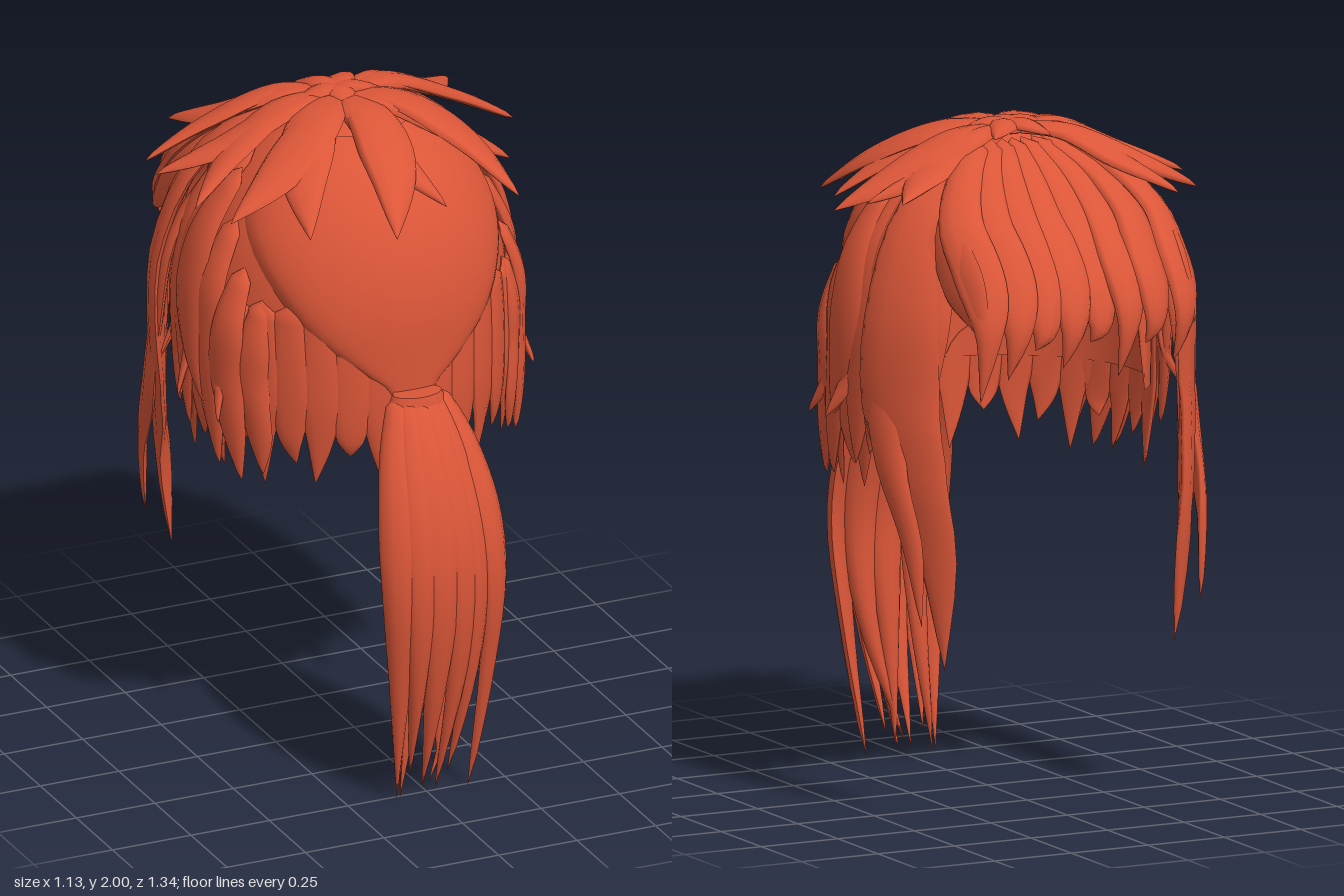
import * as THREE from 'three';

const hair = new THREE.MeshStandardMaterial({ color: 0xdb5638, side: THREE.DoubleSide });
hair.name = 'copper hair';
const V = (x, y, z) => new THREE.Vector3(x, y, z);
const rad = THREE.MathUtils.degToRad;
const HEAD = V(0, 1.4, -0.05);

// Surface grid from a rule fn(u, v) -> Vector3
function grid(nu, nv, fn) {
  const pos = [], idx = [];
  for (let i = 0; i <= nu; i++)
    for (let j = 0; j <= nv; j++) pos.push(...fn(i / nu, j / nv).toArray());
  for (let i = 0; i < nu; i++)
    for (let j = 0; j < nv; j++) {
      const a = i * (nv + 1) + j, c = a + nv + 1;
      idx.push(a, a + 1, c, a + 1, c + 1, c);
    }
  const g = new THREE.BufferGeometry();
  g.setAttribute('position', new THREE.Float32BufferAttribute(pos, 3));
  g.setIndex(idx);
  g.computeVertexNormals();
  return g;
}

// Point on the skull: azimuth in degrees from +z towards +x, height, offset
function skull(deg, y, off = 0) {
  const t = rad(deg), s = Math.sin(t), c = Math.cos(t);
  const k = y > 1.4 ? Math.sqrt(Math.max(0, 1 - ((y - 1.4) / 0.56) ** 2)) : 1 - 0.03 * (1.4 - y);
  return V(s * (0.465 * k + off), y, -0.05 + c * ((c > 0 ? 0.435 : 0.41) * k + off));
}

function add(parent, name, geo) {
  const m = new THREE.Mesh(geo, hair);
  m.name = name;
  parent.add(m);
  return m;
}

// Pointed lock with a lens section swept along pts, its broad face turned outward
function lock(parent, name, pts, width, thick, { out = null, peak = 0.5, start = 0.45 } = {}) {
  const curve = new THREE.CatmullRomCurve3(pts.map(p => p.isVector3 ? p : V(...p)), false, 'centripetal');
  const geo = grid(20, 10, (u, v) => {
    const p = curve.getPoint(u), T = curve.getTangent(u);
    const N = out ? V(...out) : p.clone().sub(HEAD);
    N.addScaledVector(T, -N.dot(T)).normalize();
    const B = N.clone().cross(T);
    let w = u < peak ? start + (1 - start) * Math.sin(u / peak * Math.PI / 2)
      : 1 - ((u - peak) / (1 - peak)) ** 1.6;
    if (u === 0) w = 0;
    const a = v * Math.PI * 2, s = Math.sin(a);
    return p.addScaledVector(B, Math.cos(a) * w * width / 2)
      .addScaledVector(N, s * Math.sqrt(w) * thick * (s > 0 ? 0.7 : 0.3));
  });
  return add(parent, name, geo);
}

function group(root, name) {
  const g = new THREE.Group();
  g.name = name;
  root.add(g);
  return g;
}

export function createModel() {
  const root = new THREE.Group();
  root.name = 'hair';

  // Inner cap, cut away over the face
  add(root, 'cap', grid(96, 20, (u, v) => {
    const deg = -180 + u * 360;
    const low = Math.abs(deg) > 134 ? 1.62 : 1.19;
    const a = Math.sin(v * Math.PI / 2);
    return skull(deg, low + (1.96 - low) * a);
  }));

  // Combed back panel, gathered down to the tie
  const half = [[1.2, 8], [1.25, 11], [1.3, 20], [1.4, 36], [1.55, 54], [1.7, 74], [1.8, 82], [1.93, 88]];
  const halfAt = y => {
    const i = Math.max(1, half.findIndex(h => y <= h[0]));
    const [a, b] = [half[i - 1], half[i]];
    return a[1] + (b[1] - a[1]) * (y - a[0]) / (b[0] - a[0]);
  };
  add(root, 'combedBack', grid(24, 24, (u, v) => {
    const y = 1.2 + 0.73 * v, s = u * 2 - 1;
    return skull(s * halfAt(y), y, 0.036 * (1 - s ** 8) - 0.002);
  }));

  // Hanging fringe round the nape, emerging from under the panel
  const nape = group(root, 'napeLocks');
  for (let i = 0; i < 19; i++) {
    const d = -99 + i * 11, tip = [0.92, 1.0, 0.94, 1.03][i % 4];
    lock(nape, 'napeLock', [skull(d * 1.02, 1.5, 0.004), skull(d * 1.01, 1.36, 0.006), skull(d, 1.2, 0.01),
      skull(d, 1.08, 0.007), skull(d + (i % 3 - 1) * 2, tip, -0.003)], 0.125, 0.026, { peak: 0.45, start: 0.7 });
  }

  // Layered side locks, and the long locks framing the face
  const sides = group(root, 'sideLocks');
  const layers = [[56, 1.5, 0.96, 0.13, -2], [66, 1.58, 0.93, 0.14, -4], [78, 1.7, 0.95, 0.15, -4],
    [89, 1.82, 1.12, 0.17, -9], [100, 1.87, 1.01, 0.17, -4], [111, 1.88, 1.05, 0.16, -5]];
  for (const s of [1, -1]) {
    layers.forEach(([d, top, tip, w, sway], i) => {
      const o = i % 2 ? 0.028 : 0.016, h = top - tip;
      lock(sides, 'sideLock', [skull(s * d, top, i < 3 ? 0 : o), skull(s * (d + 2), top - h * 0.25, o),
        skull(s * (d + 3), top - h * 0.5, o), skull(s * (d - 1), top - h * 0.78, o + 0.005),
        skull(s * (d + sway), tip, o + 0.005)], w, 0.042, { peak: 0.5 });
    });
    // Small flicked ends
    for (const [d, y] of [[72, 1.12], [93, 1.14], [116, 1.18]])
      lock(sides, 'flick', [skull(s * d, y + 0.28, 0.015), skull(s * d, y + 0.12, 0.03),
        skull(s * (d - 5), y, 0.085)], 0.06, 0.025);
    const face = group(root, s > 0 ? 'leftFaceLocks' : 'rightFaceLocks');
    lock(face, 'longLock', [[s * 0.14, 1.93, -0.2], [s * 0.35, 1.77, -0.28], [s * 0.45, 1.5, -0.335],
      [s * 0.46, 1.22, -0.34], [s * 0.435, 1.02, -0.39], [s * 0.4, 0.8, -0.45],
      [s * 0.375, s > 0 ? 0.45 : 0.47, -0.45]], 0.27, 0.055, { peak: 0.5 });
    lock(face, 'outerLongLock', [[s * 0.31, 1.8, -0.2], [s * 0.455, 1.55, -0.25], [s * 0.49, 1.3, -0.28],
      [s * 0.49, 1.05, -0.34], [s * 0.47, 0.83, -0.43], [s * 0.455, 0.59, -0.46]], 0.13, 0.04);
    lock(face, 'templeLock', [[s * 0.25, 1.87, -0.26], [s * 0.35, 1.72, -0.34], [s * 0.4, 1.5, -0.39],
      [s * 0.42, 1.3, -0.4], [s * 0.42, 1.02, -0.4]], 0.15, 0.045);
  }

  // Fringe swept out over the forehead, with thin drooping tips
  const bangs = group(root, 'bangs');
  const ends = [1.34, 1.4, 1.31, 1.42, 1.35, 1.41, 1.33, 1.27];
  ends.forEach((tip, i) => {
    const x = (i - 3.5) * 0.09, f = i % 2 ? 0 : 0.01;
    lock(bangs, 'bang', [[x * 0.35, 1.945, -0.18], [x * 0.8, 1.85, -0.33], [x, 1.75, -0.44],
      [x, 1.65, -0.53 - f], [x, 1.55, -0.6 - f], [x + 0.012, 1.46, -0.635 - f], [x + 0.04, tip, -0.635]],
    0.145, 0.045, { peak: 0.55, start: 0.55 });
  });
  // Corner locks closing the fringe against the temples
  for (const s of [1, -1])
    lock(bangs, 'cornerBang', [[s * 0.24, 1.87, -0.26], [s * 0.33, 1.74, -0.37], [s * 0.35, 1.64, -0.48],
      [s * 0.345, 1.55, -0.57], [s * 0.34, 1.45, -0.645]], 0.17, 0.04, { out: [s, 0.2, -0.2], peak: 0.6 });

  // Star of loose tufts from the crown: tip x, y, z and width
  const crown = group(root, 'crownTufts');
  const tufts = [[-0.37, 1.8, -0.49, 0.15], [-0.53, 1.77, -0.3, 0.13], [-0.56, 1.79, -0.16, 0.13],
    [-0.53, 1.76, 0.05, 0.14], [-0.49, 1.77, 0.21, 0.17], [-0.3, 1.74, 0.35, 0.17],
    [-0.07, 1.74, 0.45, 0.17], [0.13, 1.77, 0.36, 0.12], [0.38, 1.74, 0.32, 0.18],
    [0.45, 1.76, 0.1, 0.17], [0.57, 1.77, -0.13, 0.16], [0.47, 1.82, -0.37, 0.15], [0.51, 1.8, -0.22, 0.1]];
  tufts.forEach(([x, y, z, w], i) => {
    const dx = x, dz = z + 0.12, bend = i % 2 ? 0.08 : -0.08;
    const at = (k, h) => V(dx * k - dz * bend, h, -0.12 + dz * k + dx * bend);
    lock(crown, 'tuft', [V(dx * 0.04, 1.96, -0.12 + dz * 0.04), at(0.3, 1.95), at(0.65, 1.865), V(x, y, z)],
      w, 0.04, { peak: 0.55, start: 0.35 });
  });
  // Short curls closing the crown
  for (let i = 0; i < 5; i++) {
    const a = i * 1.26 + 0.4, c = Math.cos(a), s = Math.sin(a);
    lock(crown, 'crownCurl', [[-c * 0.05, 1.955, -0.13 - s * 0.05], [c * 0.04, 1.975, -0.13 + s * 0.04],
      [c * 0.15, 1.955, -0.14 + s * 0.13]], 0.09, 0.03);
  }

  // Tie at the base of the ponytail
  const tie = add(root, 'hairTie', new THREE.CylinderGeometry(0.075, 0.1, 0.06, 24));
  tie.scale.z = 0.6;
  tie.position.set(0, 1.21, 0.435);

  // Ponytail: top x, belly x, tip x, tip y, depth offset, width
  const tail = group(root, 'ponytail');
  const strands = [[-0.05, -0.13, -0.1, 0, 0, 0.13], [-0.03, -0.08, -0.06, 0.06, 0.02, 0.12],
    [-0.01, -0.02, -0.02, 0.02, 0.025, 0.15], [0.02, 0.05, 0.02, 0.01, 0.02, 0.13],
    [0.04, 0.1, 0.06, 0.06, 0.005, 0.12], [0.06, 0.165, 0.125, 0, -0.01, 0.12],
    [-0.02, -0.06, -0.09, 0, -0.035, 0.13], [0.02, 0.04, 0.03, 0.02, -0.04, 0.14],
    [0.05, 0.11, 0.0, 0.03, -0.03, 0.12]];
  for (const [x0, x1, x2, y, d, w] of strands)
    lock(tail, 'strand', [[x0, 1.24, 0.42 + d * 0.5], [(x0 + x1) / 2, 1.1, 0.5 + d], [x1 * 0.9, 0.92, 0.575 + d],
      [x1, 0.7, 0.61 + d], [x1 * 0.95, 0.42, 0.585 + d], [x2, y, 0.512]],
    w, 0.055, { out: [x1 * 4, 0, d < -0.02 ? -1 : 1], peak: 0.45, start: 0.5 });

  return root;
}
